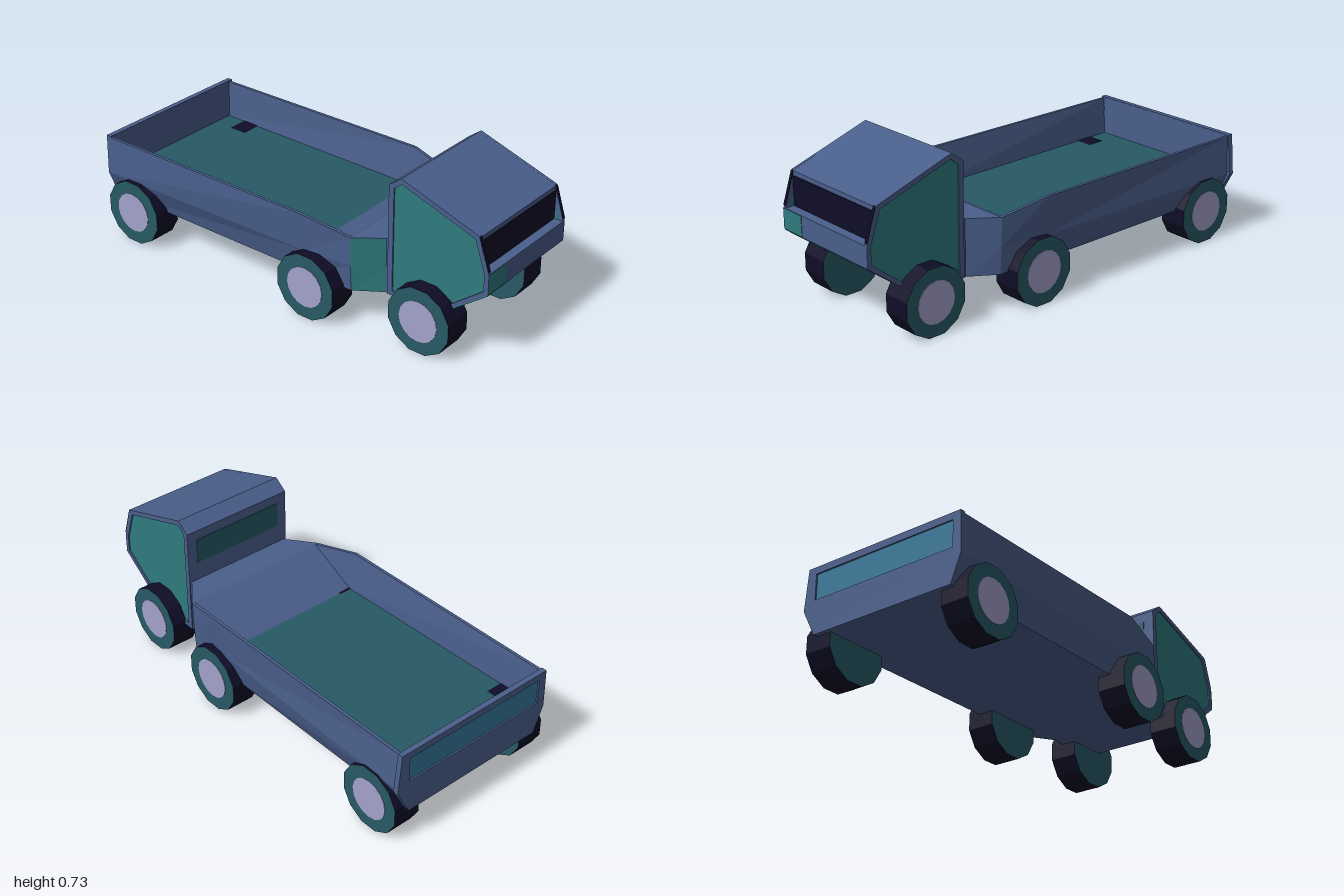
import * as THREE from 'three';

const material = (name, color, extra = {}) => {
  const m = new THREE.MeshStandardMaterial({ color, ...extra });
  m.name = name;
  return m;
};

export function createModel() {
  const truck = new THREE.Group();
  truck.name = 'truck';
  const blue = material('body blue', 0x4a5f8c);
  const teal = material('door teal', 0x2f7a7e);
  const darkTeal = material('floor dark teal', 0x275a66);
  const navy = material('rubber and glass navy', 0x0f0d28);
  const lilac = material('hub lilac', 0xa3a2cc);
  const tailBlue = material('tail panel blue', 0x37789a);

  const add = (name, geometry, mat) => {
    const mesh = new THREE.Mesh(geometry, mat);
    mesh.name = name;
    truck.add(mesh);
    return mesh;
  };
  const outline = (points) => points.map(([a, b]) => new THREE.Vector2(a, b));

  // Extrudes a (z, y) side outline across x0..x1
  const across = (points, x0, x1, hole) => {
    const shape = new THREE.Shape(outline(points));
    if (hole) shape.holes.push(new THREE.Path(outline(hole)));
    return new THREE.ExtrudeGeometry(shape, { depth: x1 - x0, bevelEnabled: false })
      .rotateY(-Math.PI / 2).translate(x1, 0, 0);
  };

  // Thin plate spanning x0..x1 along the edge (z, y) a -> b
  const plate = (name, x0, x1, [za, ya], [zb, yb], mat) => {
    const length = Math.hypot(zb - za, yb - ya);
    const p = add(name, new THREE.BoxGeometry(x1 - x0, length, 0.006), mat);
    p.position.set((x0 + x1) / 2, (ya + yb) / 2, (za + zb) / 2);
    p.rotation.x = Math.atan2(zb - za, yb - ya);
  };

  // Cab: core with a windscreen ledge, framed side panels
  const core = [[0.51, 0.178], [0.76, 0.178], [1, 0.36], [1, 0.455], [0.955, 0.455],
    [0.955, 0.608], [0.57, 0.735], [0.51, 0.69]];
  const side = [[0.51, 0.178], [0.76, 0.178], [1, 0.36], [1, 0.455], [0.95, 0.61],
    [0.57, 0.735], [0.51, 0.69]];
  const panel = [[0.535, 0.2], [0.76, 0.2], [0.98, 0.372], [0.98, 0.45], [0.932, 0.592],
    [0.575, 0.71], [0.535, 0.68]];
  add('cab', across(core, -0.266, 0.266), blue);
  for (const s of [-1, 1]) {
    const [x0, x1] = s > 0 ? [0.266, 0.28] : [-0.28, -0.266];
    add('cabSideFrame', across(side, x0, x1, panel), blue);
    const c = s * 0.27;
    add('cabSidePanel', across(panel, c - 0.004, c + 0.004), teal);
    plate('windscreenPillar', x0, x1, [0.998, 0.465], [0.952, 0.607], navy);
  }
  plate('windscreen', -0.262, 0.262, [0.957, 0.457], [0.957, 0.588], navy);
  plate('rearWindow', -0.23, 0.23, [0.51, 0.525], [0.51, 0.645], darkTeal);
  plate('frontBandPatch', -0.28, -0.155, [0.999, 0.362], [0.999, 0.453], teal);
  plate('frontLowerPatch', -0.28, -0.1, [0.77, 0.186], [0.998, 0.359], teal);

  // Load bed: cross-sections lofted from the cab back to the tailgate
  // z, bottom half-width, waist half-width, top half-width, top y, floor half-width, floor y
  const stations = [
    [0.52, 0.275, 0.275, 0.275, 0.435, 0.26, 0.435],
    [0.50, 0.275, 0.275, 0.275, 0.435, 0.26, 0.435],
    [0.38, 0.355, 0.362, 0.365, 0.435, 0.35, 0.435],
    [0.15, 0.358, 0.385, 0.402, 0.48, 0.36, 0.302],
    [-0.98, 0.36, 0.41, 0.403, 0.48, 0.38, 0.302],
  ];
  const rings = stations.map(([z, bottom, waist, top, topY, floor, floorY]) => {
    const half = [[bottom, 0.178], [waist, 0.3], [top, topY], [top - 0.014, topY], [floor, floorY]];
    const mirrored = half.map(([x, y]) => [-x, y]).reverse();
    return [...half, ...mirrored].map(([x, y]) => [x, y, z]);
  });
  const bedParts = { blue: [], darkTeal: [], teal: [] };
  for (let i = 0; i < rings.length - 1; i++) {
    const n = rings[i].length;
    for (let j = 0; j < n; j++) {
      const k = (j + 1) % n;
      const a = rings[i][j], b = rings[i][k], c = rings[i + 1][k], d = rings[i + 1][j];
      let key = 'blue';
      if (i === 3 && j === 4) key = 'darkTeal'; // cargo floor
      if (i === 1 && (j === 7 || j === 8)) key = 'teal'; // right taper
      bedParts[key].push(...a, ...d, ...c, ...a, ...c, ...b);
    }
  }
  const bedMaterials = { blue, darkTeal, teal };
  const bedNames = { blue: 'bedBody', darkTeal: 'bedFloor', teal: 'bedTaperPanel' };
  for (const key of Object.keys(bedParts)) {
    const g = new THREE.BufferGeometry();
    g.setAttribute('position', new THREE.Float32BufferAttribute(bedParts[key], 3));
    g.computeVertexNormals();
    add(bedNames[key], g, bedMaterials[key]);
  }

  // Tailgate with a recessed panel
  const gate = new THREE.Shape(outline([[-0.36, 0.178], [0.36, 0.178], [0.425, 0.3],
    [0.408, 0.487], [-0.403, 0.487], [-0.408, 0.3]]));
  gate.holes.push(new THREE.Path(outline([[-0.365, 0.335], [-0.365, 0.455], [0.365, 0.455], [0.365, 0.335]])));
  add('tailgate', new THREE.ExtrudeGeometry(gate, { depth: 0.025, bevelEnabled: false })
    .translate(0, 0, -1), blue);
  add('tailPanel', new THREE.BoxGeometry(0.73, 0.12, 0.008).translate(0, 0.395, -0.989), tailBlue);
  add('tailgateInner', new THREE.BoxGeometry(0.77, 0.18, 0.006).translate(0, 0.395, -0.977), blue);

  // Wheels: twelve-sided tyres with hub discs
  const radius = 0.15 / Math.cos(Math.PI / 12);
  const tyre = new THREE.CylinderGeometry(radius, radius, 0.132, 12, 1, false, Math.PI / 12)
    .toNonIndexed();
  tyre.computeVertexNormals();
  tyre.rotateZ(-Math.PI / 2);
  const hub = new THREE.CylinderGeometry(0.095, 0.095, 0.008, 16).rotateZ(-Math.PI / 2);
  const axles = [['front', 0.715, 0.28, -0.277], ['middle', 0.19, 0.35, -0.364], ['rear', -0.83, 0.35, -0.364]];
  for (const [name, z, left, right] of axles) {
    for (const x of [left, right]) {
      const wheel = new THREE.Group();
      wheel.name = `${name}${x > 0 ? 'Left' : 'Right'}Wheel`;
      const t = new THREE.Mesh(tyre, [navy, darkTeal, darkTeal]);
      t.name = 'tyre';
      const h = new THREE.Mesh(hub, lilac);
      h.name = 'hub';
      h.position.x = Math.sign(x) * 0.064;
      wheel.add(t, h);
      wheel.position.set(x, 0.155, z);
      truck.add(wheel);
    }
  }
  // Rest the tyres on the ground
  truck.children.forEach((c) => { c.position.y -= 0.003; });
  return truck;
}
